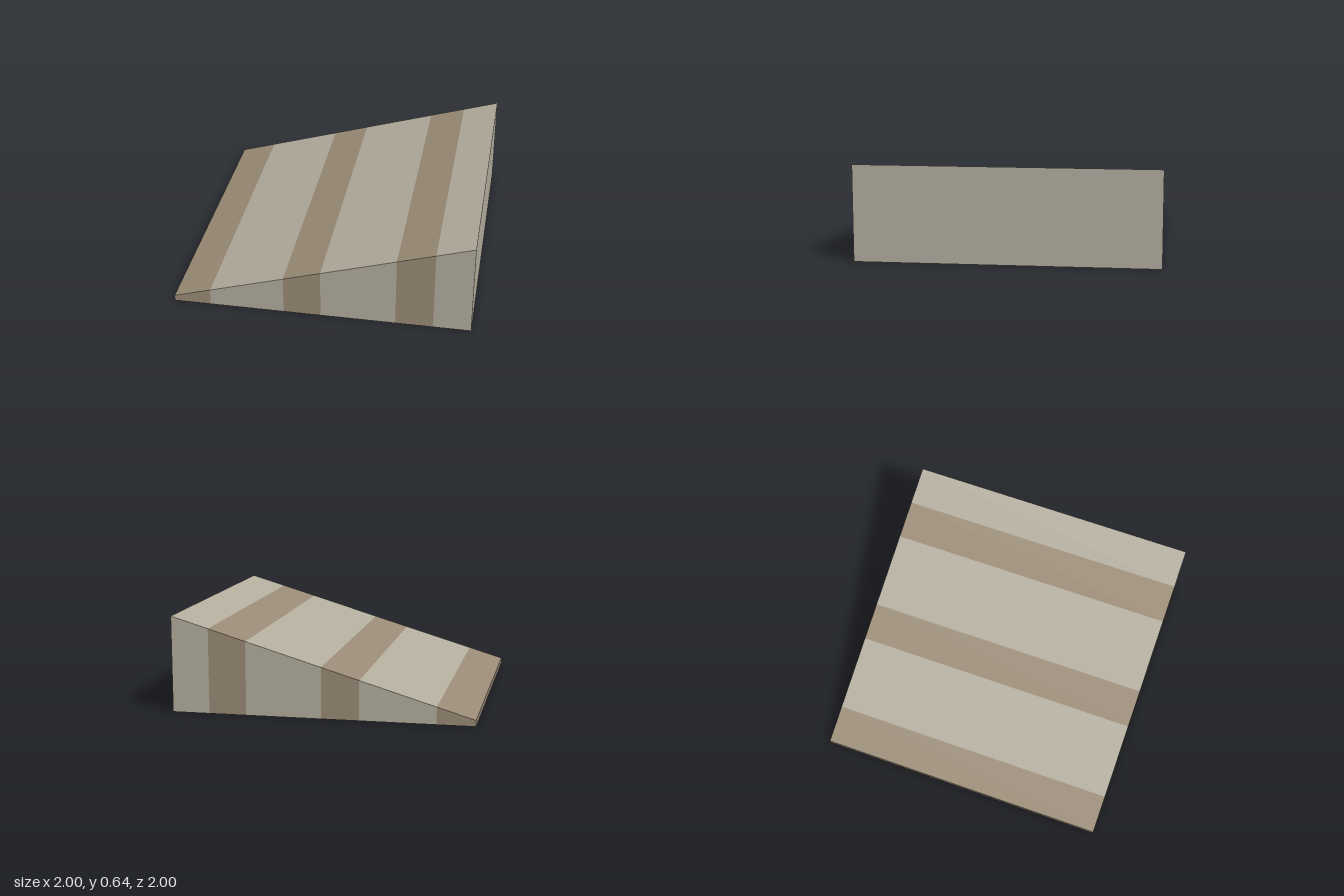
import * as THREE from 'three';

const HALF_DEPTH = 1;
const topAt = (x) => 0.34 + 0.3 * x; // slope of the ramp surface

// One slice of the wedge between x0 and x1; end walls only where the wedge is exposed
function sliceGeometry(x0, x1, leftWall, rightWall) {
  const corner = (x, high, z) => [x, high ? topAt(x) : 0, z * HALF_DEPTH];
  const a = corner(x0, false, 1), b = corner(x1, false, 1), c = corner(x1, true, 1), d = corner(x0, true, 1);
  const e = corner(x0, false, -1), f = corner(x1, false, -1), g = corner(x1, true, -1), h = corner(x0, true, -1);
  const quads = [
    [a, b, c, d], // front
    [f, e, h, g], // back
    [d, c, g, h], // sloped top
    [e, f, b, a], // underside
  ];
  if (leftWall) quads.push([e, a, d, h]);
  if (rightWall) quads.push([b, f, g, c]);
  const positions = quads.flatMap(([p, q, r, s]) => [p, q, r, p, r, s].flat());
  const geometry = new THREE.BufferGeometry();
  geometry.setAttribute('position', new THREE.Float32BufferAttribute(positions, 3));
  geometry.computeVertexNormals();
  return geometry;
}

export function createModel() {
  const stone = new THREE.MeshStandardMaterial({ color: 0xb3ad9e });
  stone.name = 'pale stone';
  const brown = new THREE.MeshStandardMaterial({ color: 0x9a8b76 });
  brown.name = 'brown stripe';

  const ramp = new THREE.Group();
  ramp.name = 'ramp';

  // Alternating stripes, from the low end to the high end
  const edges = [-1, -0.75, -0.25, 0, 0.5, 0.75, 1];
  const last = edges.length - 2;
  for (let i = 0; i <= last; i++) {
    const striped = i % 2 === 0;
    const geometry = sliceGeometry(edges[i], edges[i + 1], i === 0, i === last);
    const slice = new THREE.Mesh(geometry, striped ? brown : stone);
    slice.name = (striped ? 'brownStripe' : 'paleBand') + (Math.floor(i / 2) + 1);
    ramp.add(slice);
  }
  return ramp;
}
